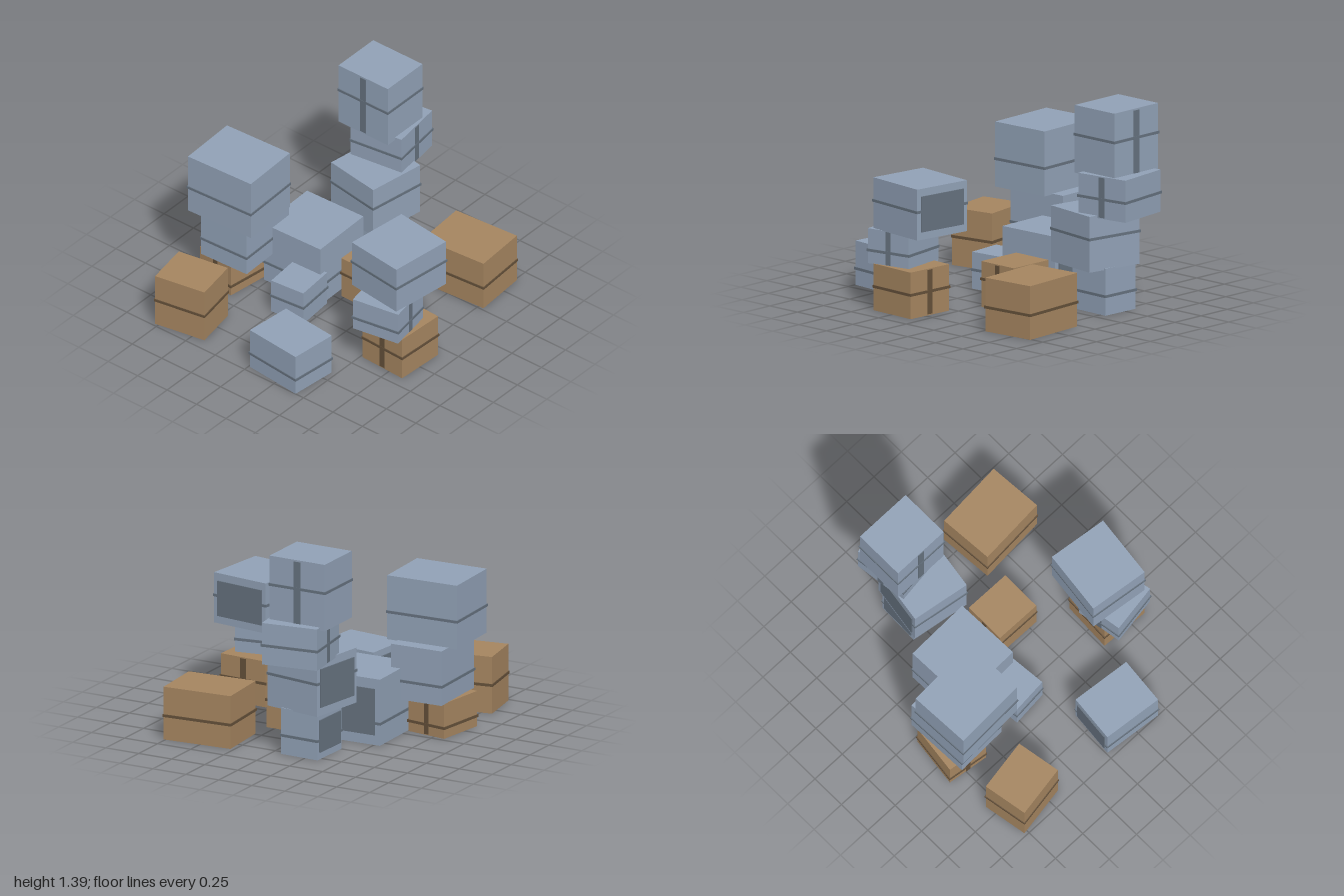
import * as THREE from 'three';

const mat = (color) => new THREE.MeshStandardMaterial({ color });

// Two finishes: steel-blue crates and brown cartons, each with darker trim
const finishes = {
  crate: { body: mat(0x91a1b6), trim: mat(0x65717e) },
  carton: { body: mat(0xa58560), trim: mat(0x645039) },
};

function block(name, size, material, x = 0, y = 0, z = 0) {
  const mesh = new THREE.Mesh(new THREE.BoxGeometry(...size), material);
  mesh.name = name;
  mesh.position.set(x, y, z);
  return mesh;
}

// One box: body, strap all round, and optional upright tape or side panel.
// tape: 'x' or 'z' = pair of faces it shows on; panel: '+x' or '-z' = its face
function makeBox({ type, at: [x, z], size: [w, d], y: [y0, y1], turn, strap, tape, panel }) {
  const { body, trim } = finishes[type];
  const h = y1 - y0;
  const mid = h / 2;
  const box = new THREE.Group();
  box.name = type;
  box.position.set(x, y0, z);
  box.rotation.y = turn;
  box.add(block('body', [w, h, d], body, 0, mid));
  box.add(block('strap', [w + 0.012, 0.018, d + 0.012], trim, 0, strap - y0));
  if (tape === 'x') box.add(block('tape', [w + 0.008, h * 0.95, d * 0.12], trim, 0, mid));
  if (tape === 'z') box.add(block('tape', [w * 0.12, h * 0.95, d + 0.008], trim, 0, mid));
  if (panel === '+x') box.add(block('panel', [0.016, h * 0.7, d * 0.85], trim, w / 2, mid));
  if (panel === '-z') box.add(block('panel', [w * 0.85, h * 0.7, 0.016], trim, 0, mid, -d / 2));
  return box;
}

const stacks = {
  // Single boxes on the floor
  backCarton: [
    { type: 'carton', at: [-0.795, -0.618], size: [0.315, 0.372], y: [0, 0.39], turn: 0.17, strap: 0.195 },
  ],
  sideCrate: [
    { type: 'crate', at: [-0.81, 0.237], size: [0.337, 0.425], y: [0, 0.3], turn: -0.1, strap: 0.113, panel: '-z' },
  ],
  frontCarton: [
    { type: 'carton', at: [0.69, 0.533], size: [0.382, 0.488], y: [0, 0.363], turn: 0.072, strap: 0.165 },
  ],
  middleCarton: [
    { type: 'carton', at: [0.177, 0.147], size: [0.295, 0.33], y: [0, 0.31], turn: -0.01, strap: 0.19, tape: 'z' },
  ],
  middleCrate: [
    { type: 'crate', at: [0.09, -0.303], size: [0.465, 0.468], y: [0, 0.455], turn: 0.028, strap: 0.15, panel: '+x' },
  ],
  smallCrate: [
    { type: 'crate', at: [-0.24, -0.157], size: [0.28, 0.255], y: [0, 0.25], turn: 0.09, strap: 0.13 },
  ],
  // Stacks of three and four, bottom to top
  backStack: [
    { type: 'carton', at: [-0.226, -0.71], size: [0.36, 0.295], y: [0, 0.242], turn: -0.13, strap: 0.072, tape: 'x' },
    { type: 'crate', at: [-0.205, -0.645], size: [0.46, 0.375], y: [0.24, 0.615], turn: 0.035, strap: 0.37 },
    { type: 'crate', at: [-0.285, -0.632], size: [0.43, 0.515], y: [0.61, 1.05], turn: 0.045, strap: 0.8 },
  ],
  frontStack: [
    { type: 'carton', at: [-0.238, 0.7], size: [0.352, 0.35], y: [0, 0.315], turn: -0.05, strap: 0.162, tape: 'x' },
    { type: 'crate', at: [-0.337, 0.675], size: [0.325, 0.345], y: [0.312, 0.548], turn: 0.16, strap: 0.402, tape: 'z' },
    { type: 'crate', at: [-0.2, 0.657], size: [0.453, 0.423], y: [0.545, 0.89], turn: -0.122, strap: 0.735, panel: '+x' },
  ],
  tallStack: [
    { type: 'crate', at: [0.645, -0.212], size: [0.305, 0.28], y: [0, 0.318], turn: -0.03, strap: 0.13, panel: '-z' },
    { type: 'crate', at: [0.59, -0.185], size: [0.415, 0.415], y: [0.307, 0.685], turn: -0.155, strap: 0.53, panel: '-z' },
    { type: 'crate', at: [0.785, -0.21], size: [0.383, 0.393], y: [0.668, 0.953], turn: 0.13, strap: 0.8, tape: 'z' },
    { type: 'crate', at: [0.72, -0.25], size: [0.36, 0.418], y: [0.932, 1.39], turn: 0, strap: 1.193, tape: 'x' },
  ],
};

export function createModel() {
  const model = new THREE.Group();
  model.name = 'stackedBoxes';
  for (const [name, boxes] of Object.entries(stacks)) {
    const stack = new THREE.Group();
    stack.name = name;
    for (const spec of boxes) stack.add(makeBox(spec));
    model.add(stack);
  }
  return model;
}
